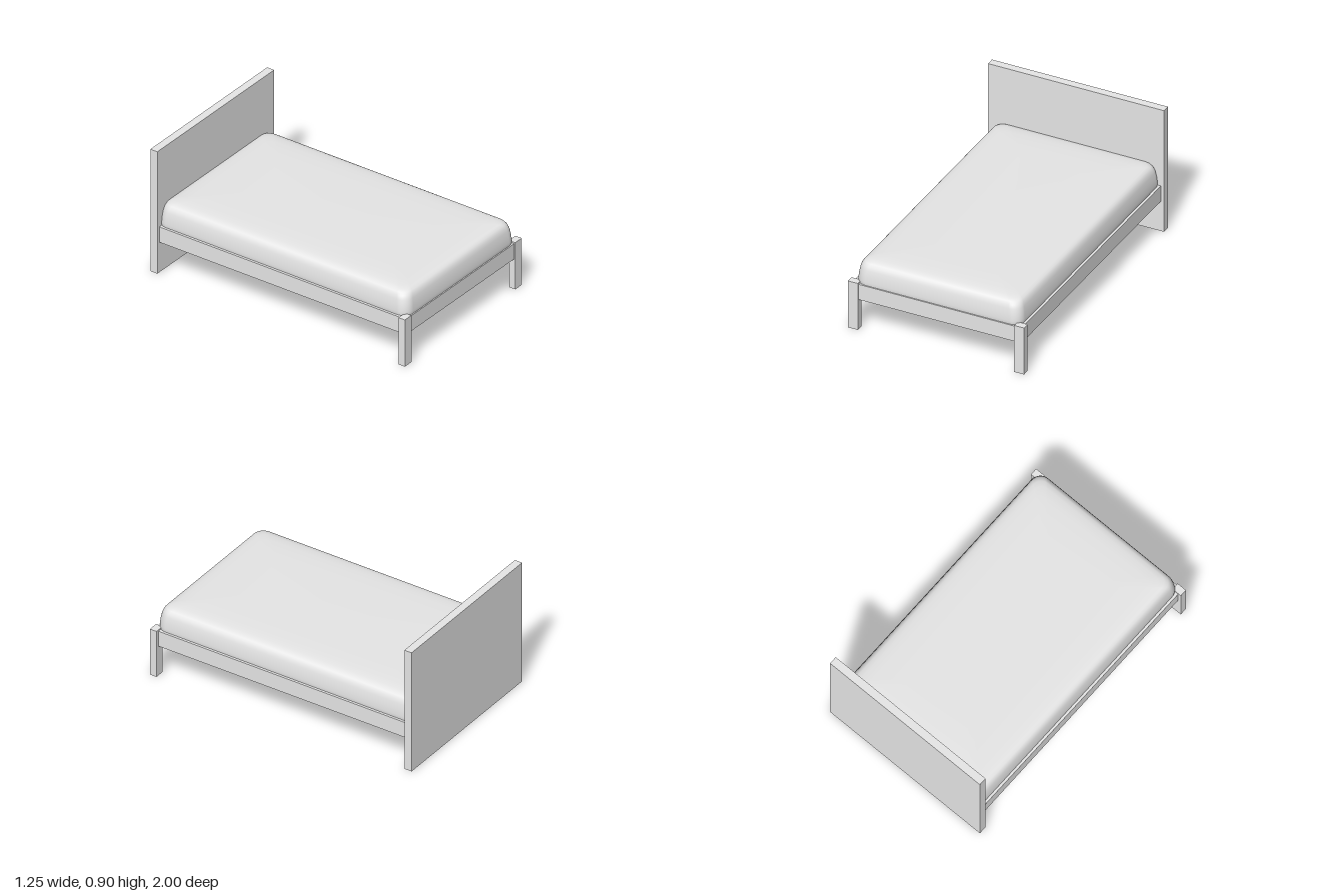
import * as THREE from 'three';

export function createModel() {
  const bed = new THREE.Group();
  bed.name = 'bed';
  // Double sided because the mattress cover is open underneath
  const grey = new THREE.MeshStandardMaterial({ color: 0xe6e6e6, side: THREE.DoubleSide });
  grey.name = 'pale grey';

  // Box given by its min and max corners
  function box(name, x0, x1, y0, y1, z0, z1) {
    const mesh = new THREE.Mesh(new THREE.BoxGeometry(x1 - x0, y1 - y0, z1 - z0), grey);
    mesh.position.set((x0 + x1) / 2, (y0 + y1) / 2, (z0 + z1) / 2);
    mesh.name = name;
    bed.add(mesh);
  }

  // Headboard and foot rail
  box('headboard', -0.627, 0.627, 0, 0.9, -1, -0.945);
  box('footRail', -0.56, 0.56, 0.222, 0.335, 0.96, 0.992);

  // Legs, side rails and slat ledges, mirrored
  for (const [side, s] of [['left', 1], ['right', -1]]) {
    const pair = (part, a, b, ...rest) =>
      box(side + part, Math.min(s * a, s * b), Math.max(s * a, s * b), ...rest);
    pair('FrontLeg', 0.557, 0.627, 0, 0.345, 0.95, 1);
    pair('SideRail', 0.578, 0.605, 0.222, 0.335, -0.95, 0.955);
    pair('SlatLedge', 0.555, 0.58, 0.23, 0.25, -0.945, 0.96);
  }

  // Slats
  const slats = 7;
  for (let i = 0; i < slats; i++) {
    const z = -0.84 + (i * 1.7) / (slats - 1);
    box('slat' + (i + 1), -0.578, 0.578, 0.25, 0.29, z - 0.065, z + 0.065);
  }

  // Mattress: rounded rectangles stacked from the open hem to the crown, as [inset, height]
  const profile = [
    [0.016, 0.29], [0.01, 0.31], [0.004, 0.335], [0.003, 0.36],
    [0.007, 0.40], [0.014, 0.44], [0.023, 0.465], [0.036, 0.482], [0.055, 0.491],
    [0.085, 0.497], [0.14, 0.501], [0.24, 0.504], [0.38, 0.505],
  ];
  const steps = 8;
  const n = 4 * (steps + 1);
  const positions = [];
  const index = [];
  for (const [inset, y] of profile) {
    const hx = 0.592 - inset;
    const hz = 0.988 - inset;
    const r = Math.max(0.03, 0.075 - inset * 0.2);
    for (let q = 0; q < 4; q++) {
      const sx = q === 0 || q === 3 ? 1 : -1;
      const sz = q < 2 ? 1 : -1;
      for (let k = 0; k <= steps; k++) {
        const a = (q + k / steps) * Math.PI / 2;
        positions.push(sx * (hx - r) + r * Math.cos(a), y, sz * (hz - r) + r * Math.sin(a));
      }
    }
  }
  const last = (profile.length - 1) * n;
  const crown = profile.length * n;
  positions.push(0, 0.505, 0);
  for (let j = 0; j < n; j++) {
    const next = (j + 1) % n;
    for (let i = 0; i < last; i += n) {
      index.push(i + j, i + n + j, i + next, i + next, i + n + j, i + n + next);
    }
    index.push(crown, last + next, last + j);
  }
  const geometry = new THREE.BufferGeometry();
  geometry.setAttribute('position', new THREE.Float32BufferAttribute(positions, 3));
  geometry.setIndex(index);
  geometry.computeVertexNormals();
  const mattress = new THREE.Mesh(geometry, grey);
  mattress.name = 'mattress';
  bed.add(mattress);

  return bed;
}
